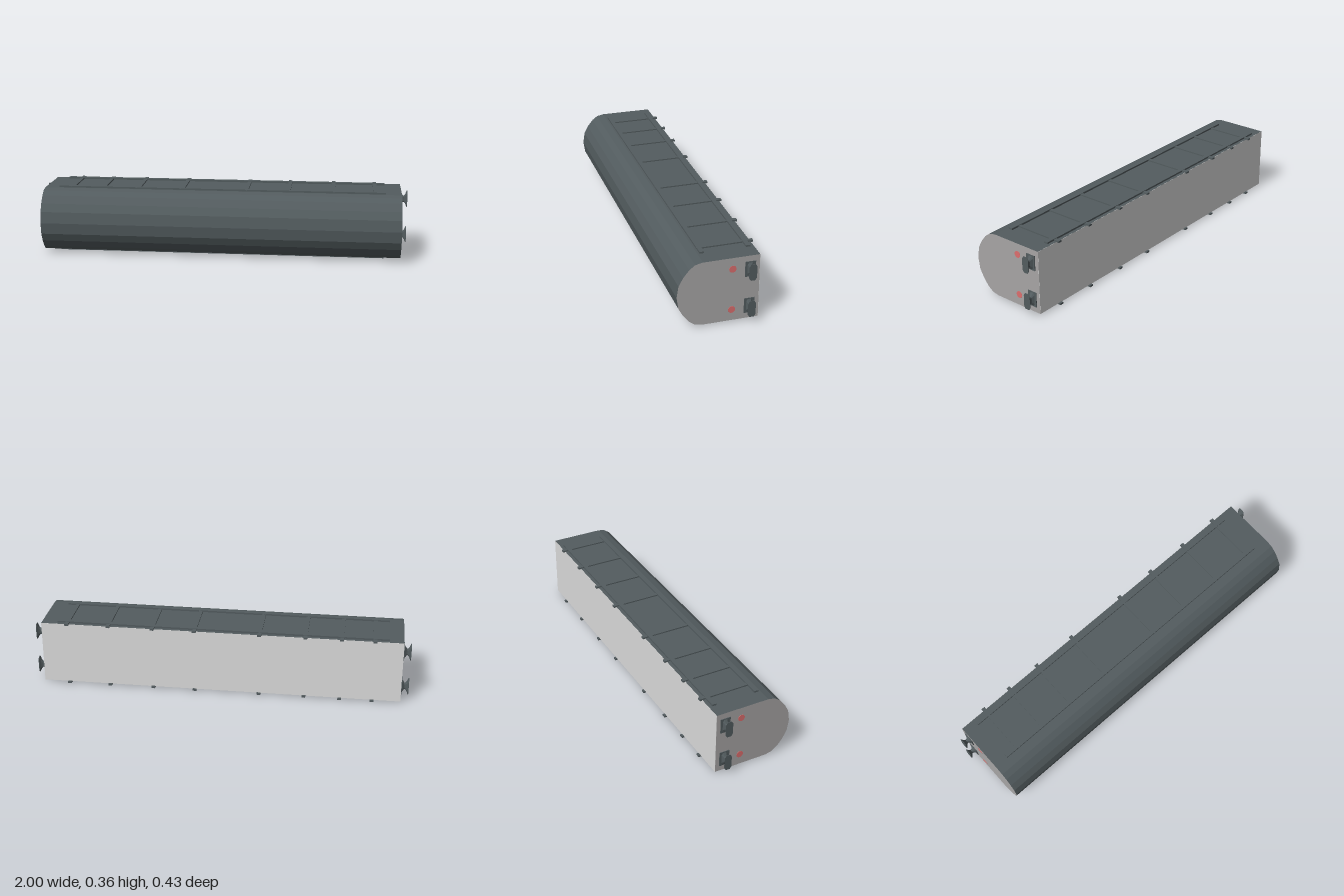
import * as THREE from 'three';

export function createModel() {
  const model = new THREE.Group();
  const colour = (name, hex) => {
    const material = new THREE.MeshStandardMaterial({ color: hex });
    material.name = name;
    return material;
  };
  const dark = colour('slate', 0x535c5f);
  const endGrey = colour('endGrey', 0xa7a5a5);
  const floorGrey = colour('floorGrey', 0xdcdcdc);
  const red = colour('lampRed', 0xdc6e6e);

  const add = (name, geometry, material, x = 0, y = 0, z = 0, parent = model) => {
    const mesh = new THREE.Mesh(geometry, material);
    mesh.name = name;
    mesh.position.set(x, y, z);
    parent.add(mesh);
    return mesh;
  };
  const box = (name, w, h, d, material, x, y, z, parent) =>
    add(name, new THREE.BoxGeometry(w, h, d), material, x, y, z, parent);

  const midY = 0.18, halfLength = 0.96;

  // Body shell: half profile as [z, distance from the middle], mirrored
  const half = [[-0.199, 0.17], [0.085, 0.17], [0.123, 0.162], [0.152, 0.14], [0.182, 0.102], [0.204, 0.06]];
  const profile = [...half, [0.213, 0], ...half.map(([z, h]) => [z, -h]).reverse()];
  const shape = new THREE.Shape(profile.map(([z, h]) => new THREE.Vector2(-z, midY + h)));
  const shell = new THREE.ExtrudeGeometry(shape, { depth: halfLength * 2, bevelEnabled: false });
  shell.translate(0, 0, -halfLength).rotateY(Math.PI / 2);
  add('bodyShell', shell, [endGrey, dark]);
  box('floor', halfLength * 2, 0.34, 0.001, floorGrey, 0, midY, -0.1995);

  // Rails and cross bars on both flat sides
  const barX = [-0.81, -0.64, -0.45, -0.21, 0.135, 0.36, 0.597, 0.82];
  for (const side of [1, -1]) {
    const trim = new THREE.Group();
    trim.name = side > 0 ? 'upperSideTrim' : 'lowerSideTrim';
    model.add(trim);
    for (const z of [0.063, -0.17])
      box('longRail', 1.76, 0.011, 0.023, dark, -0.005, midY + side * 0.1735, z, trim);
    for (const x of barX) {
      box('crossBar', 0.02, 0.008, 0.287, dark, x, midY + side * 0.1725, -0.0685, trim);
      box('crossBarEnd', 0.02, 0.009, 0.011, dark, x, midY + side * 0.1715, -0.2065, trim);
    }
  }

  // Bumper: a flared eight-sided lathe, its rings reshaped to tall chamfered rectangles
  const bumper = new THREE.LatheGeometry(
    [[0, 0], [0.85, 0], [0.42, 0.012], [0.38, 0.018], [0.6, 0.026], [1, 0.034], [1, 0.037], [0, 0.037]]
      .map(([r, h]) => new THREE.Vector2(r, h)), 8, Math.PI / 8).toNonIndexed();
  const ring = bumper.attributes.position;
  const reshape = (c, r, outer, inner) => Math.sign(c) * r * (Math.abs(c) > r * 0.6 ? outer : inner);
  for (let i = 0; i < ring.count; i++) {
    const x = ring.getX(i), z = ring.getZ(i), r = Math.hypot(x, z);
    ring.setX(i, reshape(x, r, 0.0435, 0.03));
    ring.setZ(i, reshape(z, r, 0.0195, 0.011));
  }
  bumper.rotateZ(-Math.PI / 2);
  bumper.computeVertexNormals();

  // End fittings: base plates, bumpers and flat round lamps
  const lamp = new THREE.CylinderGeometry(0.018, 0.018, 0.002, 24).rotateZ(Math.PI / 2);
  for (const end of [1, -1]) {
    const fittings = new THREE.Group();
    fittings.name = end > 0 ? 'leftEndFittings' : 'rightEndFittings';
    model.add(fittings);
    for (const side of [1, -1]) {
      const y = midY + side * 0.1;
      box('bumperPlate', 0.005, 0.08, 0.053, dark, end * 0.9615, y, -0.1515, fittings);
      const head = add('bumper', bumper, dark, end * 0.963, y, -0.1515, fittings);
      if (end < 0) head.rotation.y = Math.PI;
      add('endLamp', lamp, red, end * 0.9605, midY + side * 0.111, -0.063, fittings);
    }
  }
  return model;
}
